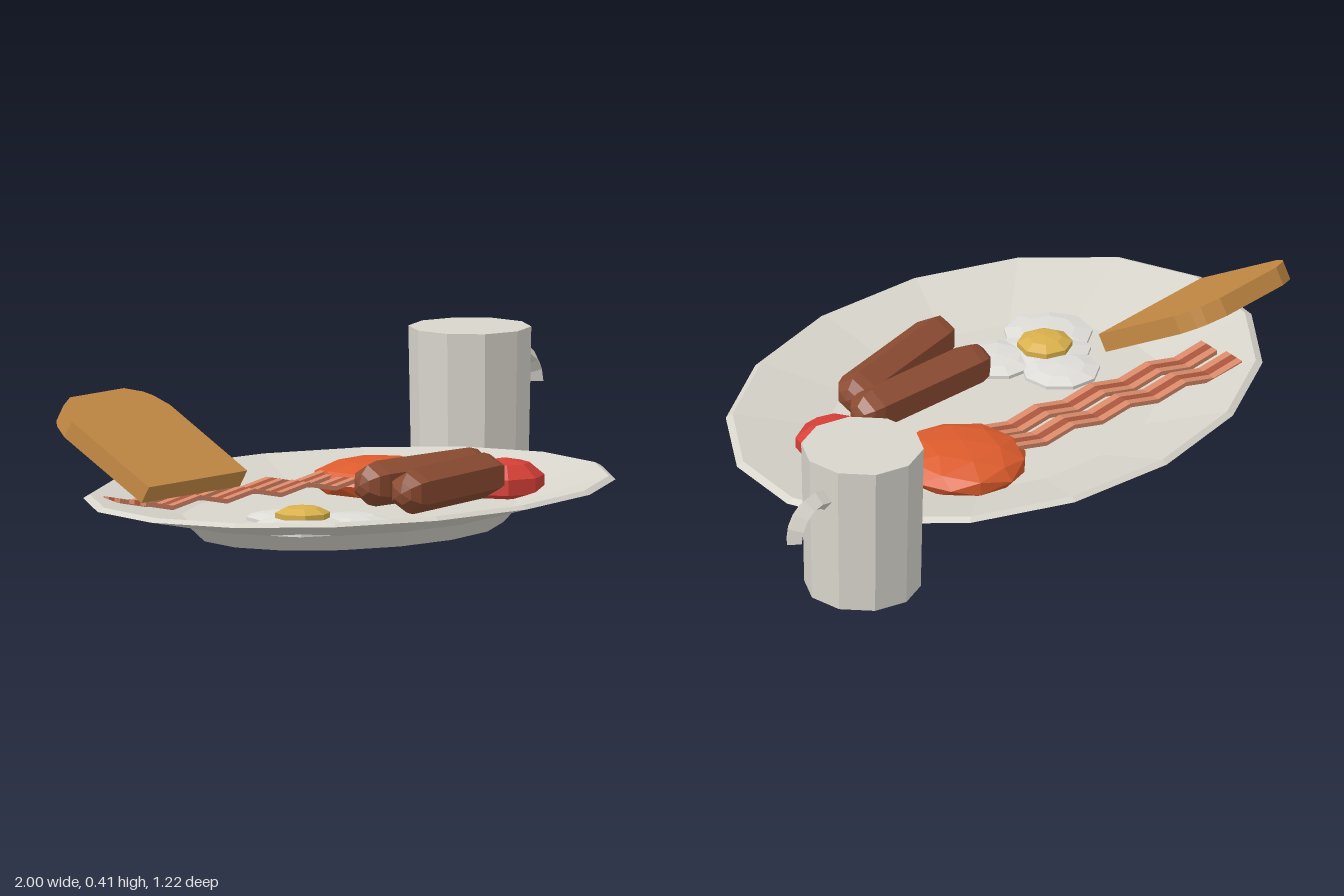
import * as THREE from 'three';

const paint = (name, color) => {
  const m = new THREE.MeshStandardMaterial({ color });
  m.name = name;
  return m;
};

// Faceted copy of a geometry: every face gets its own normal
const facet = (geo) => {
  const g = geo.index ? geo.toNonIndexed() : geo;
  g.computeVertexNormals();
  return g;
};

export function createModel() {
  const china = paint('china', 0xd8d5cc);
  const eggWhite = paint('eggWhite', 0xdfddd8);
  const yolkYellow = paint('yolkYellow', 0xd9b04c);
  const crust = paint('toastBrown', 0xc48a44);
  const sausageBrown = paint('sausageBrown', 0x8c4c32);
  const fat = paint('baconFat', 0xd98a6a);
  const lean = paint('baconLean', 0xa8553c);
  const beanOrange = paint('beanOrange', 0xdb5b2c);
  const tomatoRed = paint('tomatoRed', 0xd53f37);

  const model = new THREE.Group();
  const add = (parent, name, geo, mat, pos = [0, 0, 0], scale = [1, 1, 1]) => {
    const mesh = new THREE.Mesh(facet(geo), mat);
    mesh.name = name;
    mesh.position.set(...pos);
    mesh.scale.set(...scale);
    parent.add(mesh);
    return mesh;
  };
  const group = (name) => {
    const g = new THREE.Group();
    g.name = name;
    model.add(g);
    return g;
  };

  // Oval plate: one closed profile, stretched in x and z
  const profile = [[0, 0], [0.575, 0], [0.64, 0.045], [1, 0.105], [0.975, 0.115], [0.63, 0.052], [0, 0.052]]
    .map(([r, y]) => new THREE.Vector2(r, y));
  add(model, 'plate', new THREE.LatheGeometry(profile, 16), china, [-0.175, 0, 0], [0.825, 1, 0.61]);

  // Mug with a hooked handle
  const mug = group('mug');
  add(mug, 'mugBody', new THREE.CylinderGeometry(0.163, 0.155, 0.415, 10), china, [0.7, 0.2075, -0.31]);
  add(mug, 'mugHandle', new THREE.TorusGeometry(0.085, 0.027, 4, 8, Math.PI), china, [0.888, 0.24, -0.31]);
  const handleEnd = add(mug, 'handleEnd', new THREE.CircleGeometry(0.027, 4), china, [0.973, 0.24, -0.31]);
  handleEnd.rotation.x = Math.PI / 2;

  // Fried egg: flat overlapping lobes and a yolk
  const egg = group('friedEgg');
  [[-0.49, 0.1, 0.13], [-0.44, 0.0, 0.11], [-0.565, 0.155, 0.125], [-0.37, 0.165, 0.11]].forEach(([x, z, r]) =>
    add(egg, 'eggWhiteLobe', new THREE.SphereGeometry(1, 9, 5), eggWhite, [x, 0.055, z], [r, 0.02, r]));
  add(egg, 'yolk', new THREE.SphereGeometry(1, 8, 5), yolkYellow, [-0.49, 0.077, 0.1], [0.077, 0.028, 0.077]);

  // Sausages: six-sided capsules with a flat side up
  [[-0.022, 0.125, -0.085], [-0.073, 0.255, 0.135]].forEach(([x, z, turn]) => {
    const geo = new THREE.CapsuleGeometry(0.061, 0.355, 3, 6);
    geo.rotateZ(Math.PI / 2);
    const s = add(model, 'sausage', geo, sausageBrown, [x, 0.131, z]);
    s.rotation.y = turn;
  });

  // Make sure of the bend points of a wavy rasher, then extrude its bands
  const bends = 8, length = 0.75, thick = 0.012;
  const wave = [];
  for (let i = 0; i <= bends; i++) {
    wave.push([-length / 2 + (length * i) / bends, 0.098 + (i % 2 ? -0.013 : 0.006)]);
  }
  const rasherShape = new THREE.Shape([
    ...wave.map(([x, y]) => new THREE.Vector2(x, y - thick / 2)),
    ...wave.slice().reverse().map(([x, y]) => new THREE.Vector2(x, y + thick / 2)),
  ]);
  [[-0.36, -0.29], [-0.36, -0.202]].forEach(([x, z]) => {
    const rasher = group('bacon');
    rasher.position.set(x, 0, z);
    rasher.rotation.y = -0.18;
    [['fatBand', -0.034, 0.022, fat], ['leanBand', -0.012, 0.024, lean], ['fatBand', 0.012, 0.022, fat]]
      .forEach(([name, z0, depth, mat]) =>
        add(rasher, name, new THREE.ExtrudeGeometry(rasherShape, { depth, bevelEnabled: false }), mat, [0, 0, z0]));
  });

  // Toast slice leaning back, rounded at the far corners
  const half = [[0.204, 0], [0.204, 0.305], [0.185, 0.352], [0.165, 0.374], [0.112, 0.4]];
  const slice = new THREE.Shape([
    ...half.map(([x, y]) => new THREE.Vector2(x, y)),
    ...half.slice().reverse().map(([x, y]) => new THREE.Vector2(-x, y)),
  ]);
  const toast = add(model, 'toast', new THREE.ExtrudeGeometry(slice, { depth: 0.051, bevelEnabled: false }),
    crust, [-0.691, 0.135, -0.118]);
  toast.rotation.x = -Math.PI / 2 + 0.52;

  // Mound of beans and a tomato half
  add(model, 'beans', new THREE.IcosahedronGeometry(1, 1), beanOrange, [0.135, 0.082, -0.16], [0.175, 0.062, 0.178]);
  add(model, 'tomato', new THREE.SphereGeometry(1, 8, 5), tomatoRed, [0.29, 0.083, 0.148], [0.112, 0.068, 0.112]);

  return model;
}
